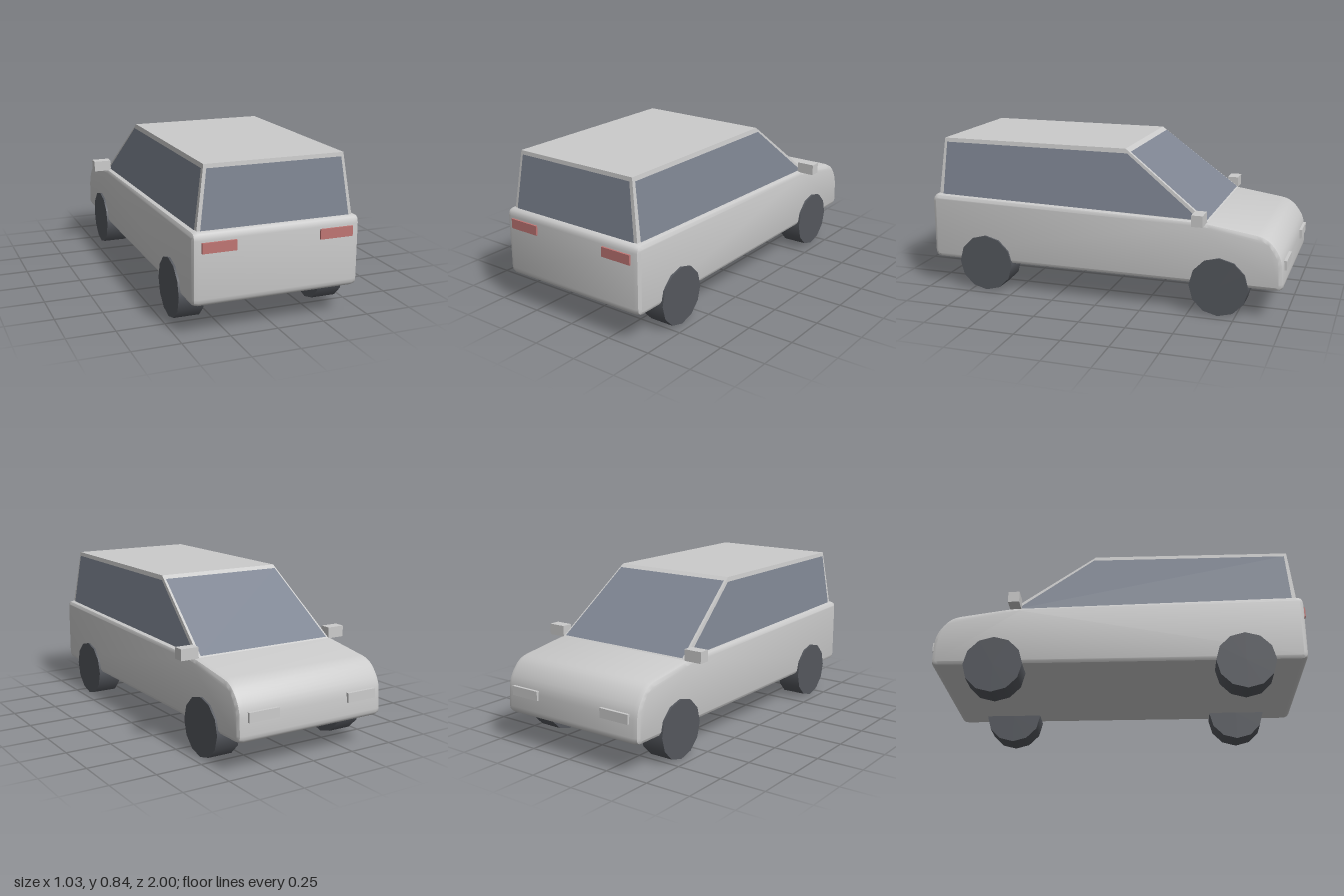
import * as THREE from 'three';
import { toCreasedNormals } from 'three/addons/utils/BufferGeometryUtils.js';

const material = (color) => new THREE.MeshStandardMaterial({ color });
const paint = material(0xcccccc);
const glass = material(0x7e8592);
const rubber = material(0x55585e);
const red = material(0xc07674);

// Closed outline with each corner [x, y, radius] softened by a curve
function roundedOutline(corners) {
  const shape = new THREE.Shape();
  const points = corners.map(([x, y]) => new THREE.Vector2(x, y));
  const n = points.length;
  points.forEach((p, i) => {
    const toward = (q) => q.clone().sub(p).setLength(corners[i][2]).add(p);
    const a = toward(points[(i + n - 1) % n]);
    const b = toward(points[(i + 1) % n]);
    if (i === 0) shape.moveTo(a.x, a.y);
    else shape.lineTo(a.x, a.y);
    shape.quadraticCurveTo(p.x, p.y, b.x, b.y);
  });
  shape.closePath();
  return shape;
}

// Flat four-sided panel, corners counter-clockwise seen from outside
function panel(a, b, c, d) {
  const geometry = new THREE.BufferGeometry().setFromPoints([a, b, c, a, c, d]);
  geometry.computeVertexNormals();
  return geometry;
}

// Window inside a panel: [left, right, bottom, top] as fractions, raised slightly
function windowIn([a, b, c, d], [left, right, bottom, top]) {
  const at = (u, v) => a.clone().lerp(b, u).lerp(d.clone().lerp(c, u), v);
  const normal = b.clone().sub(a).cross(d.clone().sub(a)).setLength(0.003);
  const corners = [at(left, bottom), at(right, bottom), at(right, top), at(left, top)];
  return panel(...corners.map((p) => p.add(normal)));
}

export function createModel() {
  const car = new THREE.Group();
  car.name = 'car';
  const add = (name, geometry, mat, x = 0, y = 0, z = 0) => {
    const mesh = new THREE.Mesh(geometry, mat);
    mesh.name = name;
    mesh.position.set(x, y, z);
    car.add(mesh);
    return mesh;
  };

  // Lower body: side profile (z, y) extruded across the width
  const profile = roundedOutline([
    [0.99, 0.16, 0.04],
    [0.99, 0.53, 0.04],
    [-0.57, 0.495, 0.04],
    [-0.91, 0.445, 0.06],
    [-0.985, 0.34, 0.05],
    [-0.993, 0.16, 0.04],
  ]);
  const depth = 0.82;
  const body = new THREE.ExtrudeGeometry(profile, {
    depth, curveSegments: 4,
    bevelThickness: 0.03, bevelSize: 0.022, bevelOffset: -0.022, bevelSegments: 2,
  });
  body.rotateY(-Math.PI / 2).translate(depth / 2, 0, 0);
  add('body', toCreasedNormals(body, 0.6), paint);

  // Cabin: tapered shell whose foot sinks into the body
  const V = (x, y, z) => new THREE.Vector3(x, y, z);
  const [baseR, baseL] = [-1, 1].map((s) => V(s * 0.413, 0.5, 0.957));
  const [noseR, noseL] = [-1, 1].map((s) => V(s * 0.416, 0.467, -0.62));
  const [roofR, roofL] = [-1, 1].map((s) => V(s * 0.365, 0.84, 0.93));
  const [browR, browL] = [-1, 1].map((s) => V(s * 0.365, 0.84, -0.13));
  add('roof', panel(roofR, roofL, browL, browR), paint);
  const walls = [
    ['rear', [baseR, baseL, roofL, roofR], [0.022, 0.978, 0.08, 0.94]],
    ['windscreen', [noseL, noseR, browR, browL], [0.015, 0.985, 0.08, 0.95]],
    ['leftSide', [baseL, noseL, browL, roofL], [0.015, 0.98, 0.08, 0.935]],
    ['rightSide', [noseR, baseR, roofR, browR], [0.02, 0.985, 0.08, 0.935]],
  ];
  for (const [name, corners, inset] of walls) {
    add(name + 'Frame', panel(...corners), paint);
    add(name + 'Glass', windowIn(corners, inset), glass);
  }

  // Wheels, mirrors and lights on both sides
  const wheel = new THREE.CylinderGeometry(0.157, 0.157, 0.135, 12).rotateZ(Math.PI / 2);
  const mirror = new THREE.BoxGeometry(0.1, 0.06, 0.06);
  const tailLight = new THREE.BoxGeometry(0.176, 0.052, 0.03);
  const headLight = new THREE.BoxGeometry(0.176, 0.05, 0.03);
  for (const [side, s] of [['left', 1], ['right', -1]]) {
    add(side + 'RearWheel', wheel, rubber, s * 0.3835, 0.157, 0.665);
    add(side + 'FrontWheel', wheel, rubber, s * 0.3835, 0.157, -0.66);
    add(side + 'Mirror', mirror, paint, s * 0.464, 0.519, -0.555);
    add(side + 'TailLight', tailLight, red, s * 0.308, 0.455, 0.985);
    add(side + 'HeadLight', headLight, paint, s * 0.3, 0.29, -0.985);
  }
  return car;
}
